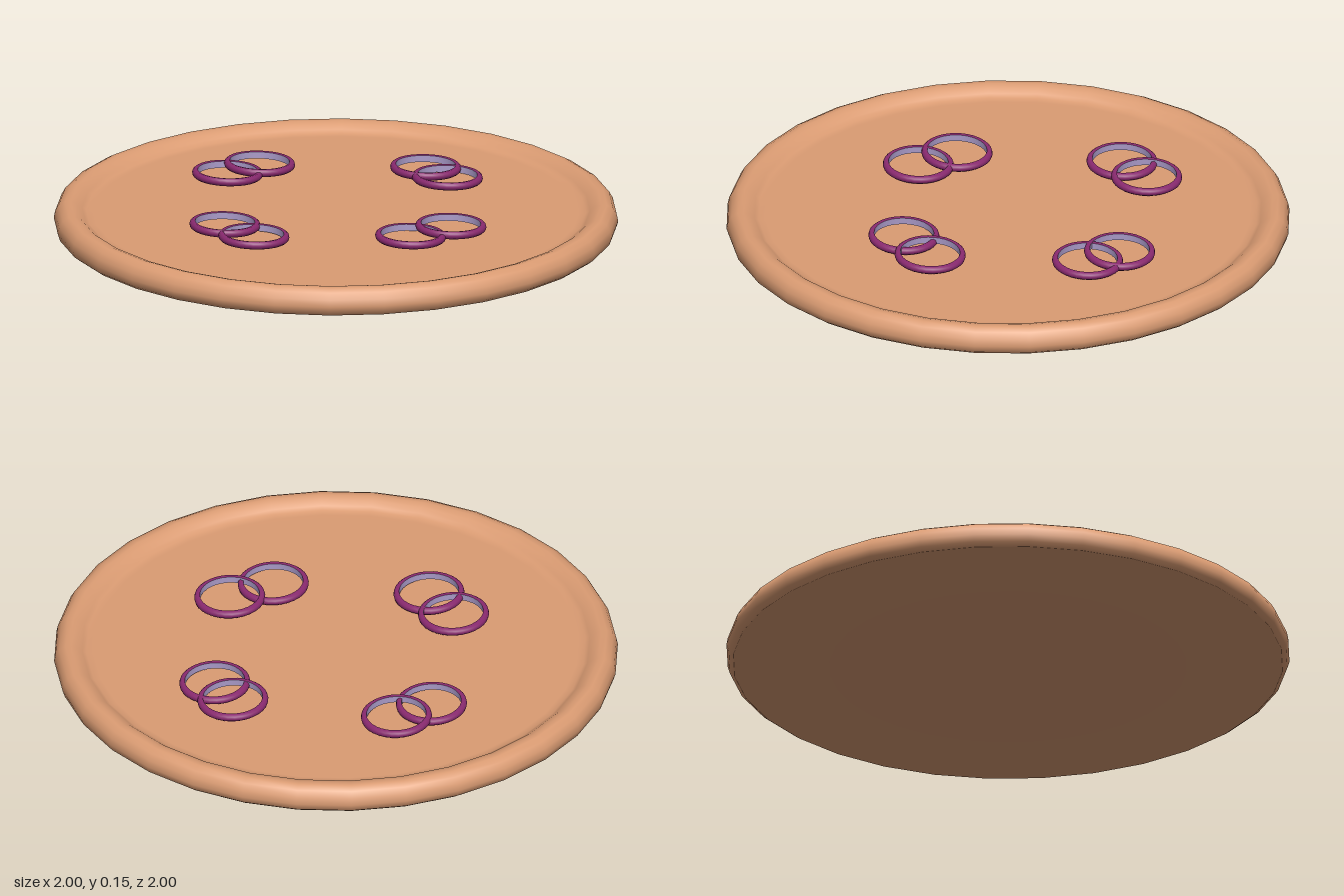
import * as THREE from 'three';

const SIDES = 32;

const material = (color) => new THREE.MeshStandardMaterial({ color });

function lathe(name, points, mat) {
  const profile = points.map(([x, y]) => new THREE.Vector2(x, y));
  const mesh = new THREE.Mesh(new THREE.LatheGeometry(profile, SIDES), mat);
  mesh.name = name;
  return mesh;
}

export function createModel() {
  const model = new THREE.Group();
  model.name = 'ringPlate';
  const clay = material(0xdb9c73);
  const purple = material(0x8a2a70);
  const lavender = material(0xa99ac8);

  // Round plate: shallow conical underside, rounded rim, sunken floor.
  // The repeated point keeps the lower edge sharp.
  model.add(lathe('plate', [
    [0, 0], [0.5, 0.016], [0.8, 0.027], [0.975, 0.037], [0.975, 0.037],
    [0.992, 0.05], [1, 0.075], [0.995, 0.1], [0.982, 0.123], [0.96, 0.135],
    [0.94, 0.135], [0.918, 0.128], [0.9, 0.114], [0.885, 0.104], [0.86, 0.101],
    [0.7, 0.102], [0, 0.105],
  ], clay));

  // Four overlapping pairs of onion rings: centre x, z of each ring
  const pairs = {
    backRings: [[-0.09, -0.525], [0.04, -0.507]],
    rightRings: [[-0.525, -0.127], [-0.532, 0.023]],
    leftRings: [[0.453, -0.13], [0.432, 0.047]],
    frontRings: [[-0.113, 0.436], [0.05, 0.45]],
  };

  for (const [name, centres] of Object.entries(pairs)) {
    const pair = new THREE.Group();
    pair.name = name;
    centres.forEach(([x, z], i) => {
      const ring = new THREE.Group();
      ring.name = 'onionRing';
      // Purple skin with a rounded outside, pale inner wall
      ring.add(lathe('skin', [
        [0.106, -0.012], [0.117, -0.014], [0.124, -0.008], [0.126, 0],
        [0.124, 0.008], [0.117, 0.014], [0.106, 0.012],
      ], purple));
      ring.add(lathe('innerWall', [[0.106, 0.012], [0.106, -0.012]], lavender));
      ring.position.set(x, i ? 0.126 : 0.128, z);
      ring.rotation.x = -0.04;
      pair.add(ring);
    });
    model.add(pair);
  }
  return model;
}
